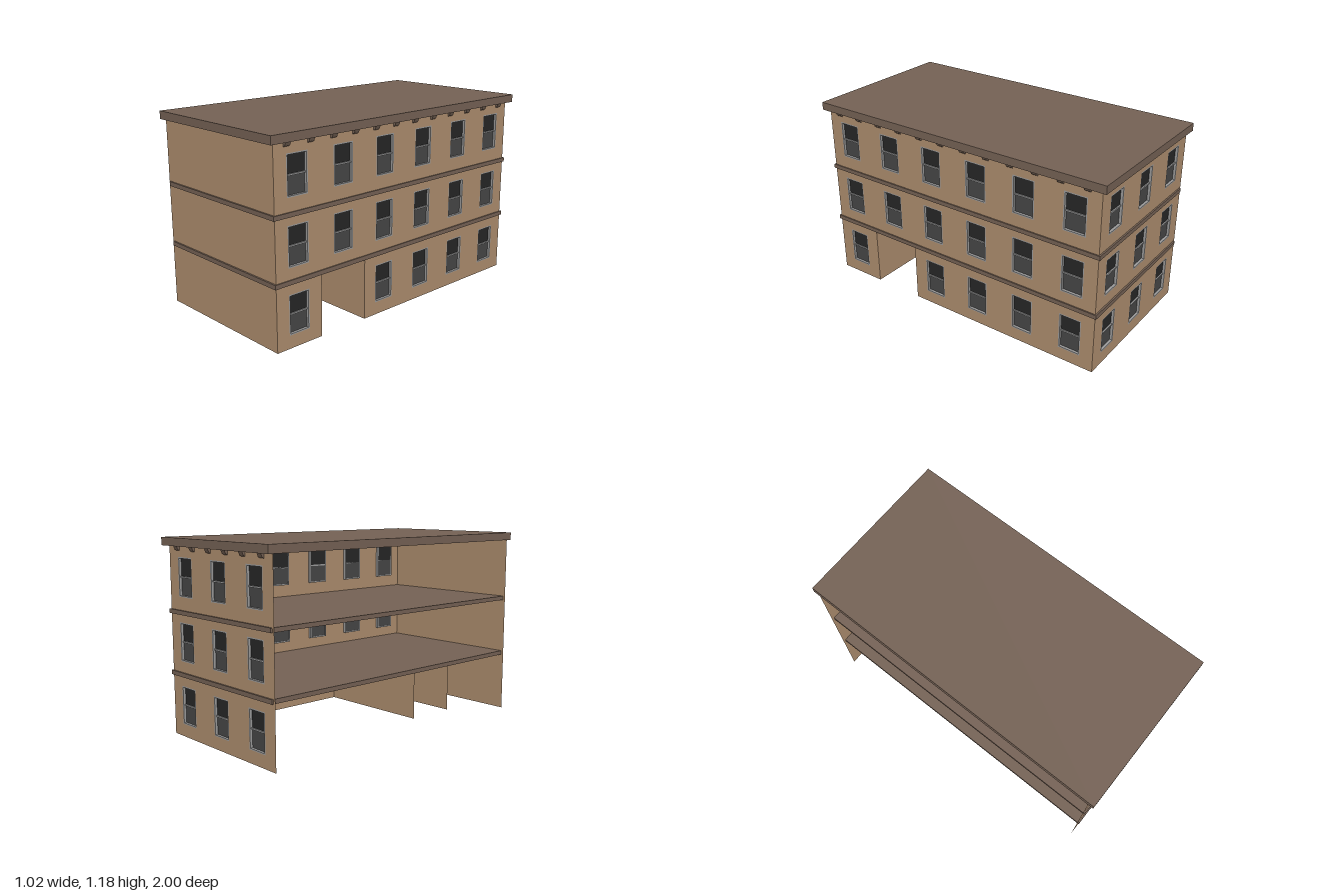
import * as THREE from 'three';

const mat = (color) => new THREE.MeshStandardMaterial({ color, side: THREE.DoubleSide, flatShading: true });
const M = {
  wall: mat(0xac8c6d), trim: mat(0x746154), frame: mat(0x9a9a9a),
  upperGlass: mat(0x262626), lowerGlass: mat(0x464646),
};

const RIGHT = 0.48, LEFT = -0.505, END = 0.965, EAVES = 1.135, CEILING = 0.367;
const MID = (RIGHT + LEFT) / 2;
const WIN_W = 0.142, WIN_H = 0.232, RECESS = 0.018, FRAME = 0.008;
const ROWS = [0.192, 0.573, 0.954];

function add(parent, name, geometry, material, x = 0, y = 0, z = 0) {
  const mesh = new THREE.Mesh(geometry, material);
  mesh.name = name;
  mesh.position.set(x, y, z);
  parent.add(mesh);
  return mesh;
}

const polygon = (points) => new THREE.Shape(points.map(([x, y]) => new THREE.Vector2(x, y)));

function rectPath(cx, cy, w, h, Type = THREE.Path) {
  return new Type([[-1, -1], [-1, 1], [1, 1], [1, -1]]
    .map(([a, b]) => new THREE.Vector2(cx + a * w / 2, cy + b * h / 2)));
}

// Frame ring set into the wall, two panes and a meeting rail
const ring = rectPath(0, 0, WIN_W, WIN_H, THREE.Shape);
ring.holes.push(rectPath(0, 0, WIN_W - 2 * FRAME, WIN_H - 2 * FRAME));
const frameGeo = new THREE.ExtrudeGeometry(ring, { depth: RECESS, bevelEnabled: false });
const paneGeo = new THREE.PlaneGeometry(WIN_W - FRAME, WIN_H / 2);
const railGeo = new THREE.BoxGeometry(WIN_W - 2 * FRAME, 0.009, 0.008);

function makeWindow(x, y) {
  const g = new THREE.Group();
  g.name = 'window';
  g.position.set(x, y, 0);
  add(g, 'windowFrame', frameGeo, M.frame, 0, 0, -RECESS);
  add(g, 'upperPane', paneGeo, M.upperGlass, 0, WIN_H / 4, -RECESS + 0.002);
  add(g, 'lowerPane', paneGeo, M.lowerGlass, 0, -WIN_H / 4, -RECESS + 0.002);
  add(g, 'meetingRail', railGeo, M.frame, 0, 0, -RECESS + 0.006);
  return g;
}

// Small slanted bracket under the eaves; profile is (outward, up)
const bracketGeo = new THREE.ExtrudeGeometry(
  polygon([[0, 0], [0.012, 0.008], [0.021, 0.03], [0, 0.03]]),
  { depth: 0.035, bevelEnabled: false });
bracketGeo.translate(0, 0, -0.0175);
bracketGeo.rotateY(-Math.PI / 2);

// Wall in its own plane, facing local +z
function makeWall(name, outline, windows, brackets) {
  const g = new THREE.Group();
  g.name = name;
  const shape = polygon(outline);
  for (const [x, y] of windows) shape.holes.push(rectPath(x, y, WIN_W, WIN_H));
  add(g, name + 'Surface', new THREE.ShapeGeometry(shape), M.wall);
  for (const [x, y] of windows) g.add(makeWindow(x, y));
  for (const x of brackets) add(g, 'eavesBracket', bracketGeo, M.trim, x, 1.106, 0);
  return g;
}

const spread = (n, step) => Array.from({ length: n }, (_, i) => (i - (n - 1) / 2) * step);

export function createModel() {
  const model = new THREE.Group();
  model.name = 'building';
  const half = (RIGHT - LEFT) / 2;

  // Long right wall with the passage opening; local x runs towards -z
  const gate = [-0.65, -0.32];
  const sideWindows = [];
  for (const y of ROWS) spread(6, 0.324).forEach((x, i) => {
    if (!(y === ROWS[0] && i === 1)) sideWindows.push([x, y]);
  });
  const side = makeWall('rightWall', [
    [-END, 0], [gate[0], 0], [gate[0], CEILING], [gate[1], CEILING], [gate[1], 0],
    [END, 0], [END, EAVES], [-END, EAVES],
  ], sideWindows, spread(12, 0.16));
  side.position.x = RIGHT;
  side.rotation.y = Math.PI / 2;
  model.add(side);

  // Back wall with three columns of windows, plain front wall
  const gable = [[-half, 0], [half, 0], [half, EAVES], [-half, EAVES]];
  const backWindows = ROWS.flatMap((y) => spread(3, 0.332).map((x) => [x, y]));
  const back = makeWall('backWall', gable, backWindows, spread(6, 0.16));
  back.position.set(MID, 0, -END);
  back.rotation.y = Math.PI;
  model.add(back);
  const front = makeWall('frontWall', gable, [], []);
  front.position.set(MID, 0, END);
  model.add(front);

  // Passage side walls
  const passageEnd = -0.29;
  const passageGeo = new THREE.PlaneGeometry(RIGHT - passageEnd, CEILING);
  for (const u of gate)
    add(model, 'passageWall', passageGeo, M.wall, (RIGHT + passageEnd) / 2, CEILING / 2, -u);

  // Floor slabs that show outside as bands, and the roof
  const slabGeo = new THREE.BoxGeometry(0.977, 0.026, 1.95);
  for (const y of [0.378, 0.748]) add(model, 'floorSlab', slabGeo, M.trim, -0.001, y, 0);
  add(model, 'roof', new THREE.BoxGeometry(1.02, 0.048, 2), M.trim, 0, 1.157, 0);

  return model;
}
